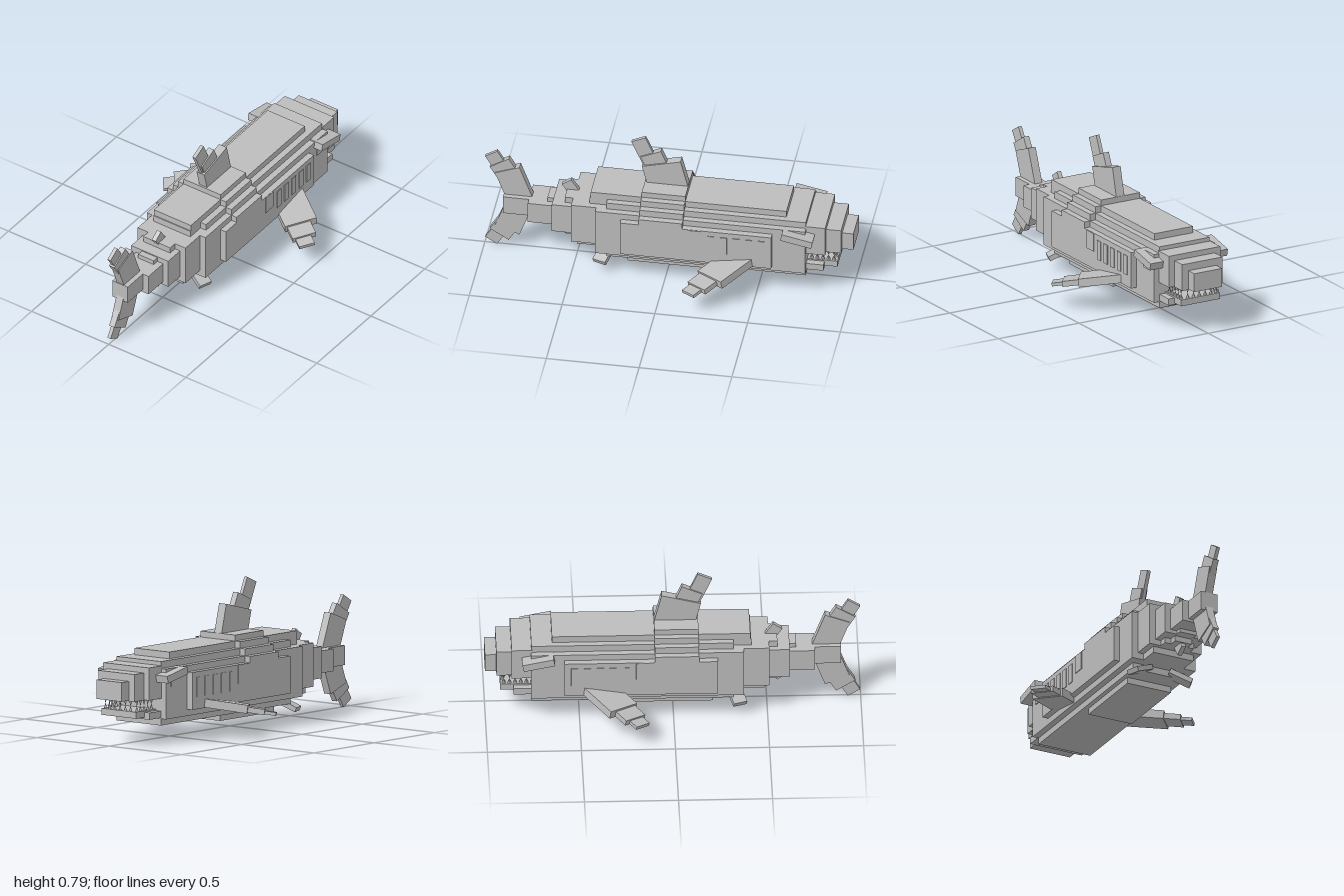
import * as THREE from 'three';

export function createModel() {
  const model = new THREE.Group();
  const grey = new THREE.MeshStandardMaterial({ color: 0xbcbcbc });
  grey.name = 'stone grey';

  function box(name, size, pos, rot = [0, 0, 0], parent = model) {
    const mesh = new THREE.Mesh(new THREE.BoxGeometry(...size), grey);
    mesh.name = name;
    mesh.position.set(...pos);
    mesh.rotation.set(...rot);
    parent.add(mesh);
    return mesh;
  }

  // Centred slab: half width, bottom, top, near end and far end along z
  function slab(name, [w, y0, y1, z0, z1]) {
    box(name, [2 * w, y1 - y0, z1 - z0], [0, (y0 + y1) / 2, (z0 + z1) / 2]);
  }

  // Stepped body: wider slabs are lower and shorter
  [
    [0.225, 0.175, 0.376, -0.58, 0.235],
    [0.225, 0.18, 0.41, -0.1, 0.135],
    [0.19, 0.14, 0.41, -0.757, 0.375],
    [0.19, 0.15, 0.447, -0.1, 0.135],
    [0.155, 0.104, 0.447, -0.755, 0.32],
    [0.155, 0.2, 0.483, -0.1, 0.135],
    [0.12, 0.15, 0.483, -0.645, 0.41],
    [0.12, 0.3, 0.515, -0.1, 0.135],
    [0.13, 0.07, 0.3, -0.235, 0.21],
  ].forEach(s => slab('body', s));

  // Tapering tail stem
  [
    [0.155, 0.175, 0.41, 0.3, 0.51],
    [0.12, 0.14, 0.447, 0.3, 0.415],
    [0.12, 0.14, 0.4, 0.35, 0.485],
    [0.12, 0.205, 0.376, 0.4, 0.62],
    [0.087, 0.175, 0.41, 0.4, 0.555],
    [0.087, 0.225, 0.345, 0.5, 0.755],
    [0.05, 0.175, 0.376, 0.5, 0.6],
    [0.05, 0.205, 0.37, 0.5, 0.655],
    [0.05, 0.24, 0.345, 0.65, 0.895],
  ].forEach(s => slab('tailStem', s));

  // Snout and lower jaw
  [
    [0.16, 0.25, 0.425, -0.86, -0.75],
    [0.125, 0.248, 0.395, -0.94, -0.75],
    [0.087, 0.252, 0.355, -1, -0.85],
  ].forEach(s => slab('snout', s));
  slab('lowerJaw', [0.155, 0.145, 0.182, -0.85, -0.75]);
  slab('lowerJaw', [0.12, 0.155, 0.19, -0.92, -0.75]);

  // Teeth along the sides and front of the mouth
  function tooth(x, z, up) {
    const geo = new THREE.ConeGeometry(0.012, 0.034, 4);
    const mesh = new THREE.Mesh(geo, grey);
    mesh.name = 'tooth';
    mesh.position.set(x, up ? 0.203 : 0.234, z);
    mesh.rotation.x = up ? 0 : Math.PI;
    model.add(mesh);
  }
  for (const up of [true, false]) {
    for (const s of [-1, 1])
      for (let i = 0; i < 5; i++) tooth(s * 0.108, -0.78 - i * 0.03, up);
    for (let i = -2; i <= 2; i++) tooth(i * 0.036, -0.908, up);
  }

  // Parts mirrored on each side
  for (const s of [1, -1]) {
    const side = s > 0 ? 'left' : 'right';
    box(side + 'Brow', [0.08, 0.04, 0.17], [s * 0.2, 0.378, -0.718], [-0.2, 0, 0]);
    box(side + 'Eye', [0.01, 0.065, 0.065], [s * 0.19, 0.345, -0.685]);
    box(side + 'SidePanel', [0.008, 0.1, 0.07], [s * 0.225, 0.324, -0.165]);
    for (let i = 0; i < 5; i++)
      box(side + 'Gill', [0.008, 0.107, 0.037], [s * 0.225, 0.294, -0.255 - i * 0.068]);

    // Swept pectoral fin in three steps
    const fin = new THREE.Group();
    fin.name = side + 'PectoralFin';
    fin.position.set(s * 0.18, 0.19, -0.4);
    fin.rotation.set(0.1, -s * 0.64, -s * 0.14, 'YXZ');
    box('finRoot', [0.26, 0.045, 0.178], [s * 0.09, 0, 0], [0, 0, 0], fin);
    box('finMiddle', [0.16, 0.03, 0.13], [s * 0.23, -0.003, 0.012], [0, 0, 0], fin);
    box('finTip', [0.12, 0.018, 0.087], [s * 0.31, -0.006, 0.018], [0, 0, 0], fin);
    model.add(fin);

    const pelvic = box(side + 'PelvicFin', [0.13, 0.027, 0.075], [s * 0.12, 0.1, 0.335]);
    pelvic.rotation.set(0, -s * 0.35, -s * 0.42, 'YXZ');
  }

  // Dorsal fin
  box('dorsalFinBase', [0.05, 0.17, 0.215], [0, 0.56, 0.025], [0.25, 0, 0]);
  box('dorsalFinMiddle', [0.035, 0.13, 0.12], [0, 0.635, 0.078], [0.42, 0, 0]);
  box('dorsalFinTip', [0.02, 0.18, 0.083], [0, 0.693, 0.135], [0.42, 0, 0]);

  // Upper and lower tail lobes, mirrored about the stem
  for (const s of [1, -1]) {
    const name = s > 0 ? 'upperTailLobe' : 'lowerTailLobe';
    const lobe = (size, y, z, tilt) =>
      box(name, size, [0, 0.308 + s * (y - 0.308), z], [s * tilt, 0, 0]);
    lobe([0.045, 0.26, 0.14], 0.38, 0.83, 0.36);
    lobe([0.034, 0.2, 0.12], 0.455, 0.868, 0.55);
    lobe([0.02, 0.16, 0.076], 0.522, 0.923, 0.55);
  }

  // Small rear fins
  box('rearDorsalFin', [0.025, 0.09, 0.06], [0, 0.418, 0.533], [0.6, 0, 0]);
  box('analFin', [0.025, 0.09, 0.06], [0, 0.172, 0.555], [-0.6, 0, 0]);

  return model;
}
